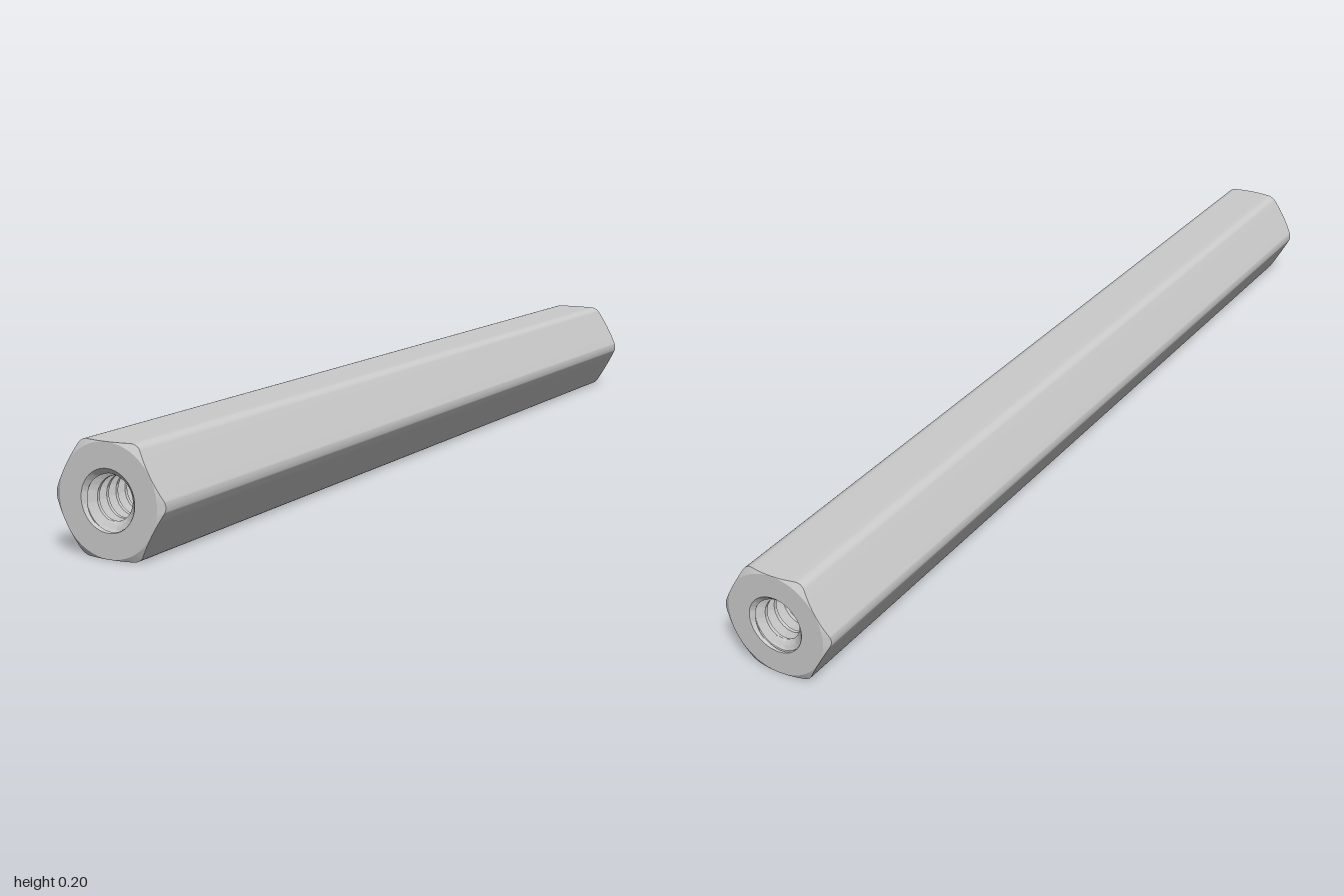
import * as THREE from 'three';
import { toCreasedNormals } from 'three/addons/utils/BufferGeometryUtils.js';

const APOTHEM = 0.1, FILLET = 0.022, FACE_R = 0.0995, MOUTH_R = 0.055;
const MAJOR = 0.054, MINOR = 0.038, PITCH = 0.025, DEPTH = 0.3;
const material = new THREE.MeshStandardMaterial({ color: 0xcccccc });

// Rounded hexagon in polar form, with a corner at angle 0
const COS30 = Math.cos(Math.PI / 6);
const filletD = (APOTHEM - FILLET) / COS30;
const filletA = Math.atan2(FILLET / 2, filletD + FILLET * COS30);

function hexRadius(angle) {
  const sector = Math.PI / 3;
  const a = Math.abs(angle - Math.round(angle / sector) * sector);
  if (a > filletA) return APOTHEM / Math.cos(Math.PI / 6 - a);
  return filletD * Math.cos(a) + Math.sqrt(FILLET ** 2 - (filletD * Math.sin(a)) ** 2);
}

// Angles shared by body and bores: fine steps on the fillets, wider ones on the flats
const angles = [];
for (let s = 0; s < 6; s++) {
  const corner = s * Math.PI / 3;
  for (let i = 0; i < 6; i++) angles.push(corner + filletA * (i / 3 - 1));
  for (let i = 0; i < 10; i++) angles.push(corner + filletA + (Math.PI / 3 - 2 * filletA) * i / 10);
}
angles.push(angles[0] + 2 * Math.PI);

// Skin a stack of rings; each row is a function angle -> [radius, z]
function loft(rows) {
  const pos = [], index = [], n = angles.length;
  rows.forEach((row, j) => angles.forEach((a, i) => {
    const [r, z] = row(a);
    pos.push(r * Math.cos(a), r * Math.sin(a), z);
    if (j && i < n - 1) {
      const p = (j - 1) * n + i, q = p + n;
      index.push(p, q, q + 1, p, q + 1, p + 1);
    }
  }));
  const g = new THREE.BufferGeometry();
  g.setAttribute('position', new THREE.Float32BufferAttribute(pos, 3));
  g.setIndex(index);
  return toCreasedNormals(g, 0.45);
}

// Hexagonal bar with conically chamfered ends
function bodyGeometry() {
  const end = (side) => [
    () => [MOUTH_R, side],
    (a) => [Math.min(hexRadius(a), FACE_R), side],
    (a) => [hexRadius(a), side * (1 - (hexRadius(a) - FACE_R) * 0.577)],
  ];
  return loft([...end(1), ...end(-1).reverse()]);
}

// Blind hole with a helical thread and a countersunk mouth
function boreGeometry() {
  const steps = 16, turns = DEPTH / PITCH, rows = [() => [0, 1 - DEPTH]];
  const thread = (phase) => {
    const d = Math.abs(phase - 0.5) * 2;
    return THREE.MathUtils.mapLinear(THREE.MathUtils.clamp(d, 0.25, 0.875), 0.25, 0.875, MINOR, MAJOR);
  };
  for (let j = 0; j <= (turns + 1) * steps; j++) {
    rows.push((a) => {
      const climb = (j / steps + (a - angles[0]) / (2 * Math.PI) - 1) * PITCH;
      const z = 1 - DEPTH + THREE.MathUtils.clamp(climb, 0, DEPTH);
      if (climb <= 0) return [MINOR, z];
      const sink = MOUTH_R - (1 - z);
      return [Math.max(thread((j % steps) / steps), sink), z];
    });
  }
  return loft(rows);
}

export function createModel() {
  const group = new THREE.Group();
  group.name = 'hexStandoff';
  const add = (name, geometry) => {
    const mesh = new THREE.Mesh(geometry, material);
    mesh.name = name;
    mesh.position.y = APOTHEM;
    group.add(mesh);
    return mesh;
  };
  add('hexBody', bodyGeometry());
  const bore = boreGeometry();
  add('frontThreadedHole', bore);
  add('backThreadedHole', bore).rotation.y = Math.PI;
  return group;
}
